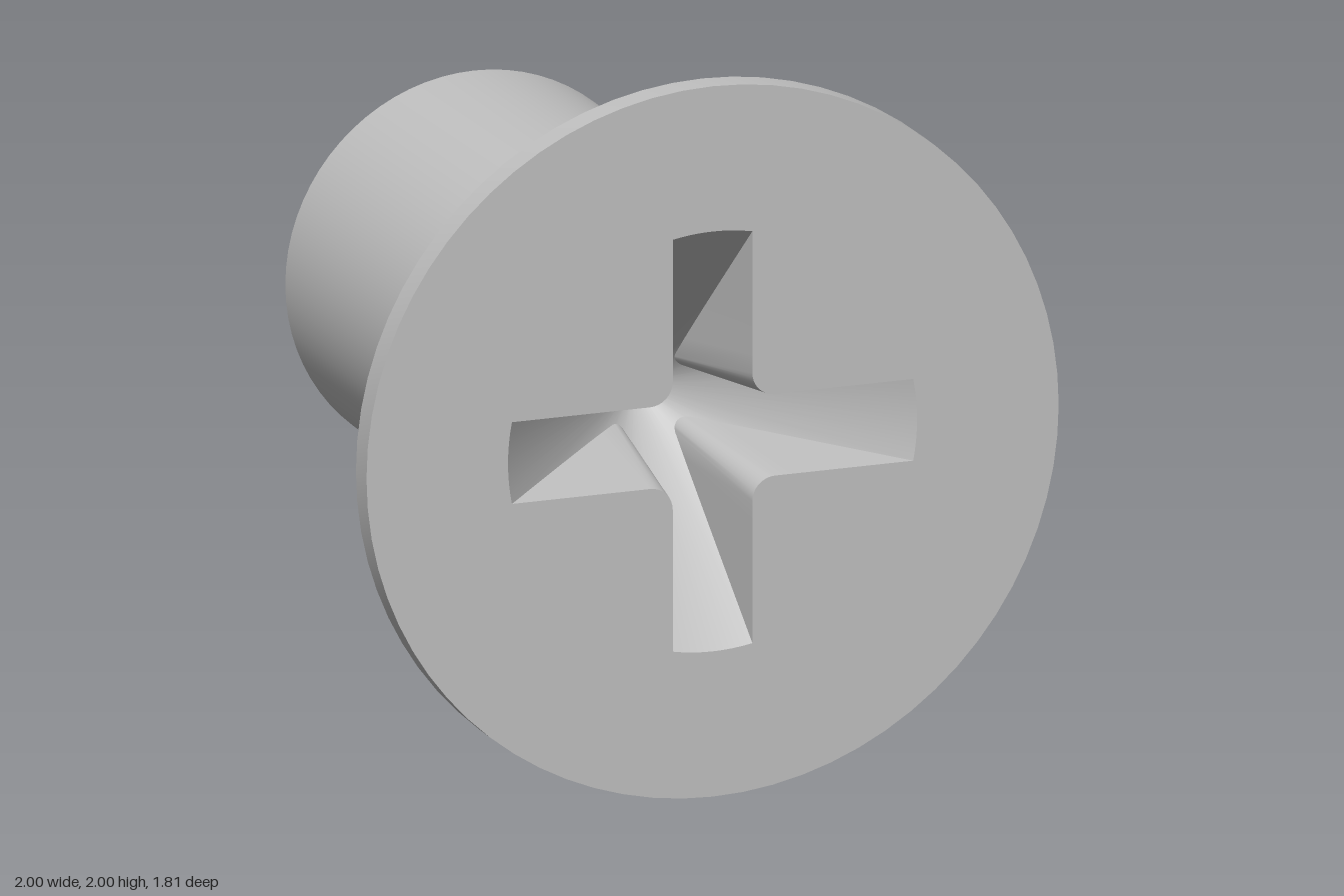
import * as THREE from 'three';
import { toCreasedNormals } from 'three/addons/utils/BufferGeometryUtils.js';

const FRONT = 0.905;               // z of the head's flat face
const RECESS_R = 0.591, DEPTH = 0.6; // conical recess floor
const HALF = 0.115;                // half width of a recess arm

// Recess outline: each entry pairs a rim point with the floor point below it
function recessOutline() {
  const floorZ = (x, y) => FRONT - DEPTH * Math.max(0, 1 - Math.hypot(x, y) / RECESS_R);
  const half = [];
  const add = (tx, ty, bx, by) => half.push([tx, ty, bx, by]);
  const end = Math.asin(HALF / RECESS_R), cx = RECESS_R * Math.cos(end);
  for (let i = 0; i < 4; i++) {            // rounded arm end
    const a = end * i / 4, x = RECESS_R * Math.cos(a), y = RECESS_R * Math.sin(a);
    add(x, y, x, y);
  }
  for (let i = 0; i < 8; i++) {            // drafted side wall
    const t = i / 8;
    add(cx + (0.18 - cx) * t, HALF, cx + (0.11 - cx) * t, HALF - 0.045 * t);
  }
  for (let i = 0; i <= 4; i++) {           // first half of the inner corner fillet
    const a = -Math.PI / 2 - Math.PI / 4 * i / 4, c = Math.cos(a), s = Math.sin(a);
    add(0.18 + 0.065 * c, 0.18 + 0.065 * s, 0.11 + 0.04 * c, 0.11 + 0.04 * s);
  }
  // mirror over the diagonal, then repeat for the four arms
  const mirrored = half.slice(1, -1).reverse().map(([a, b, c, d]) => [b, a, d, c]);
  const quarter = [...half, ...mirrored];
  const outline = [];
  for (let k = 0; k < 4; k++) {
    const c = Math.round(Math.cos(k * Math.PI / 2)), s = Math.round(Math.sin(k * Math.PI / 2));
    for (const [tx, ty, bx, by] of quarter) {
      outline.push({
        top: [tx * c - ty * s, tx * s + ty * c, FRONT],
        bottom: [bx * c - by * s, bx * s + by * c, floorZ(bx, by)],
      });
    }
  }
  return outline;
}

function fromTriangles(triangles) {
  const g = new THREE.BufferGeometry();
  g.setAttribute('position', new THREE.Float32BufferAttribute(triangles.flat(2), 3));
  g.computeVertexNormals();
  return toCreasedNormals(g, 0.5);
}

export function createModel() {
  const model = new THREE.Group();
  model.name = 'countersunkScrew';
  const steel = new THREE.MeshStandardMaterial({ color: 0xc0c0c0 });
  steel.name = 'steelGrey';
  const addPart = (name, geometry) => {
    const mesh = new THREE.Mesh(geometry, steel);
    mesh.name = name;
    mesh.position.y = 1;
    model.add(mesh);
  };
  const turned = (points) => {
    const g = new THREE.LatheGeometry(points.map(([r, z]) => new THREE.Vector2(r, z)), 72);
    return toCreasedNormals(g.rotateX(Math.PI / 2), 0.5);
  };

  // Shank with closed back end and chamfer down to the neck
  addPart('shank', turned([[0, -FRONT], [0.545, -FRONT], [0.545, -0.055], [0.485, 0.04]]));

  // Neck, fillet, conical underside and rim
  const profile = [[0.485, 0.04]];
  for (let i = 0; i <= 10; i++) {
    const a = Math.PI / 4 * i / 10;
    profile.push([0.485 + 0.29 * (1 - Math.cos(a)), 0.2 + 0.29 * Math.sin(a)]);
  }
  profile.push([1, 0.825], [1, FRONT]);
  addPart('head', turned(profile));

  // Flat face with the cross-shaped opening
  const outline = recessOutline();
  const face = new THREE.Shape();
  face.absarc(0, 0, 1, 0, Math.PI * 2, false);
  face.holes.push(new THREE.Path(outline.map(({ top }) => new THREE.Vector2(top[0], top[1])).reverse()));
  addPart('headFace', new THREE.ShapeGeometry(face, 36).translate(0, 0, FRONT));

  // Recess walls and conical floor
  const walls = [], floor = [], apex = [0, 0, FRONT - DEPTH];
  outline.forEach((p, i) => {
    const q = outline[(i + 1) % outline.length];
    floor.push([apex, p.bottom, q.bottom]);
    walls.push([p.top, q.top, p.bottom], [q.top, q.bottom, p.bottom]);
  });
  addPart('recessWalls', fromTriangles(walls));
  addPart('recessFloor', fromTriangles(floor));
  return model;
}
